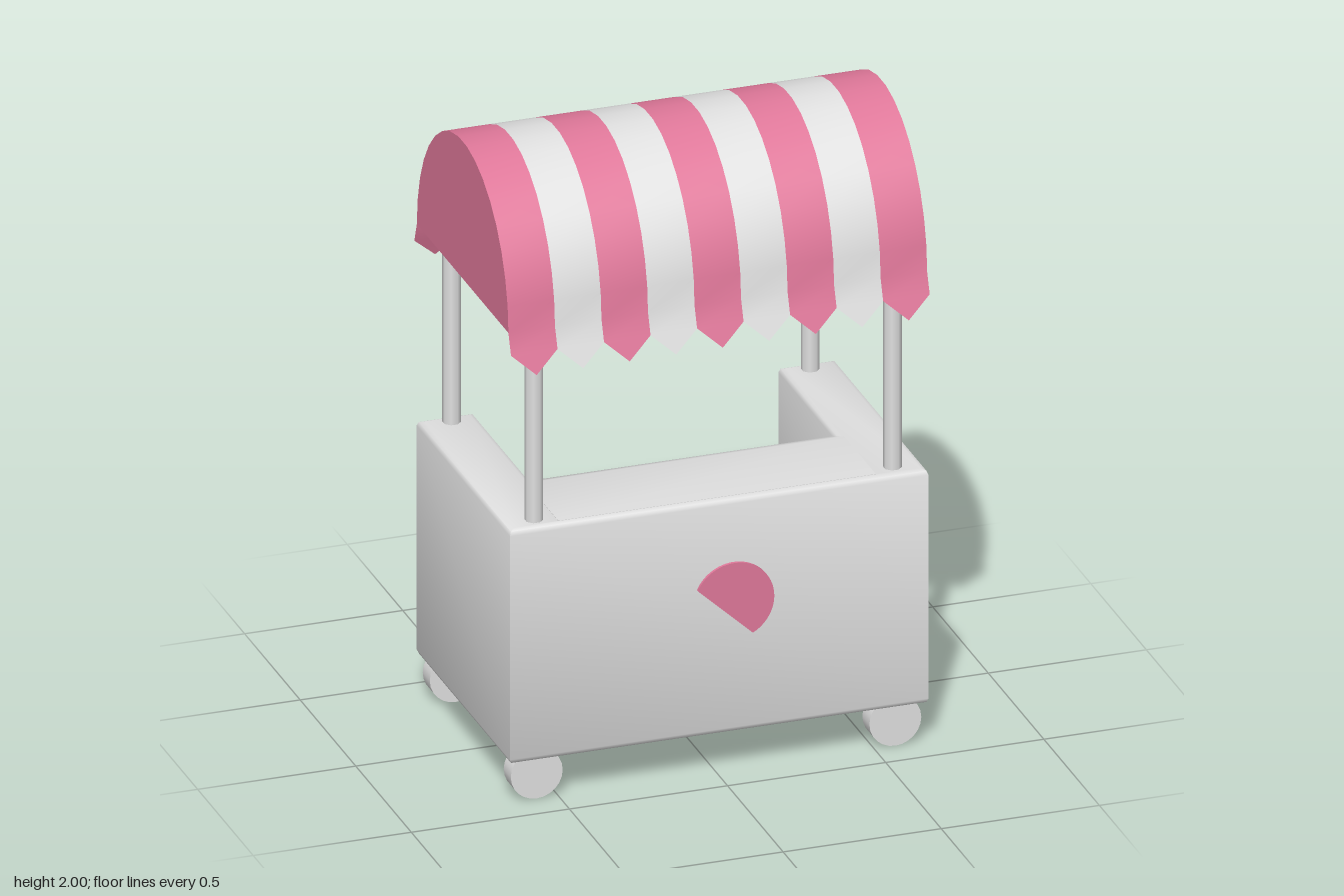
import * as THREE from 'three';
import { toCreasedNormals } from 'three/addons/utils/BufferGeometryUtils.js';

const white = new THREE.MeshStandardMaterial({ color: 0xe0e0e0, side: THREE.DoubleSide });
white.name = 'white';
const pink = new THREE.MeshStandardMaterial({ color: 0xe0789a, side: THREE.DoubleSide });
pink.name = 'pink';

const HALF = 0.662;      // half length of the cart
const STRIPES = 9;

function add(parent, name, geometry, material, x = 0, y = 0, z = 0) {
  const mesh = new THREE.Mesh(geometry, material);
  mesh.name = name;
  mesh.position.set(x, y, z);
  parent.add(mesh);
  return mesh;
}

const polygon = (points) => new THREE.Shape(points.map(([x, y]) => new THREE.Vector2(x, y)));

// Half-barrel roof outline as [z, y], front to back, with a flat top segment
function archPoints(segments = 17) {
  const peak = Math.sin((Math.PI * (segments - 1)) / 2 / segments);
  return Array.from({ length: segments + 1 }, (_, i) => {
    const a = (Math.PI * i) / segments;
    return [0.412 * Math.cos(a), 1.55 + (0.45 * Math.sin(a)) / peak];
  });
}

// One stripe of cloth: roof strip plus a pointed flap at each end
function stripeGeometry(x0, x1) {
  const rows = [[0.435, 1.485], ...archPoints(), [-0.435, 1.485]];
  const positions = [];
  const index = [];
  rows.forEach(([z, y], i) => {
    positions.push(x0, y, z, x1, y, z);
    if (i < rows.length - 1) {
      const a = i * 2;
      index.push(a, a + 1, a + 3, a, a + 3, a + 2);
    }
  });
  const n = rows.length * 2;
  const mid = (x0 + x1) / 2;
  positions.push(mid, 1.42, 0.457, mid, 1.42, -0.457);
  index.push(n, 1, 0, n + 1, n - 2, n - 1);
  const g = new THREE.BufferGeometry();
  g.setAttribute('position', new THREE.Float32BufferAttribute(positions, 3));
  g.setIndex(index);
  g.computeVertexNormals();
  return g;
}

function buildBody(cart) {
  // U-shaped cabinet, open at the back
  const bevel = 0.018, bottom = 0.135, top = 0.905;
  const wall = 0.18, back = 0.415, front = -0.425, inner = -0.385;
  const outline = polygon([
    [-HALF, front], [HALF, front], [HALF, back], [HALF - wall, back],
    [HALF - wall, inner], [wall - HALF, inner], [wall - HALF, back], [-HALF, back],
  ]);
  const body = new THREE.ExtrudeGeometry(outline, {
    depth: top - bottom - 2 * bevel, bevelEnabled: true, bevelSegments: 2,
    bevelThickness: bevel, bevelSize: bevel, bevelOffset: -bevel,
  });
  body.rotateX(-Math.PI / 2);
  add(cart, 'cabinet', toCreasedNormals(body, 0.9), white, 0, bottom + bevel, 0);

  // Serving counter with a sloped rear lip; profile is [z, y]
  const profile = polygon([
    [0.405, 0.8], [0.405, 0.906], [0.12, 0.906], [0.075, 0.89], [0.05, 0.855], [0.05, 0.82], [0.07, 0.8],
  ]);
  const length = 2 * (HALF - wall) + 0.04;
  const counter = new THREE.ExtrudeGeometry(profile, { depth: length, bevelEnabled: false });
  counter.rotateY(-Math.PI / 2);
  // the turn maps profile x to +z and depth to -x
  add(cart, 'counter', toCreasedNormals(counter, 0.9), white, length / 2, 0, 0);

  // Cone emblem on the front panel
  const cx = 0.045, cy = 0.57, axis = 0.82, spread = 1.91;
  const cone = new THREE.Shape();
  cone.moveTo(-0.21, 0.295);
  cone.absarc(cx, cy, 0.126, axis - spread, axis + spread, false);
  cone.closePath();
  const plate = new THREE.ExtrudeGeometry(cone, { depth: 0.009, bevelEnabled: false, curveSegments: 24 });
  add(cart, 'coneEmblem', plate, pink, 0, 0, 0.425);
}

function buildAwning(cart) {
  const awning = new THREE.Group();
  awning.name = 'awning';
  cart.add(awning);
  const width = (2 * HALF) / STRIPES;
  for (let i = 0; i < STRIPES; i++) {
    const x0 = -HALF + i * width;
    add(awning, 'awningStripe', stripeGeometry(x0, x0 + width), i % 2 ? white : pink);
  }
  // Flat ends of the barrel
  for (const side of [-1, 1]) {
    const end = new THREE.ShapeGeometry(polygon(archPoints()));
    end.rotateY((side * Math.PI) / 2);
    add(awning, 'awningEnd', end, pink, side * HALF, 0, 0);
  }
}

export function createModel() {
  const cart = new THREE.Group();
  cart.name = 'streetCart';
  buildBody(cart);
  buildAwning(cart);

  // Posts and wheels at the four corners
  const post = new THREE.CylinderGeometry(0.028, 0.028, 0.72, 8);
  post.rotateY(Math.PI / 8);
  const wheel = new THREE.CylinderGeometry(0.082, 0.082, 0.064, 24);
  wheel.rotateX(Math.PI / 2);
  for (const x of [-0.567, 0.567]) {
    for (const z of [-0.37, 0.37]) {
      add(cart, 'post', post, white, x, 1.24, z);
      add(cart, 'wheel', wheel, white, x, 0.082, z * 0.985);
    }
  }
  return cart;
}
